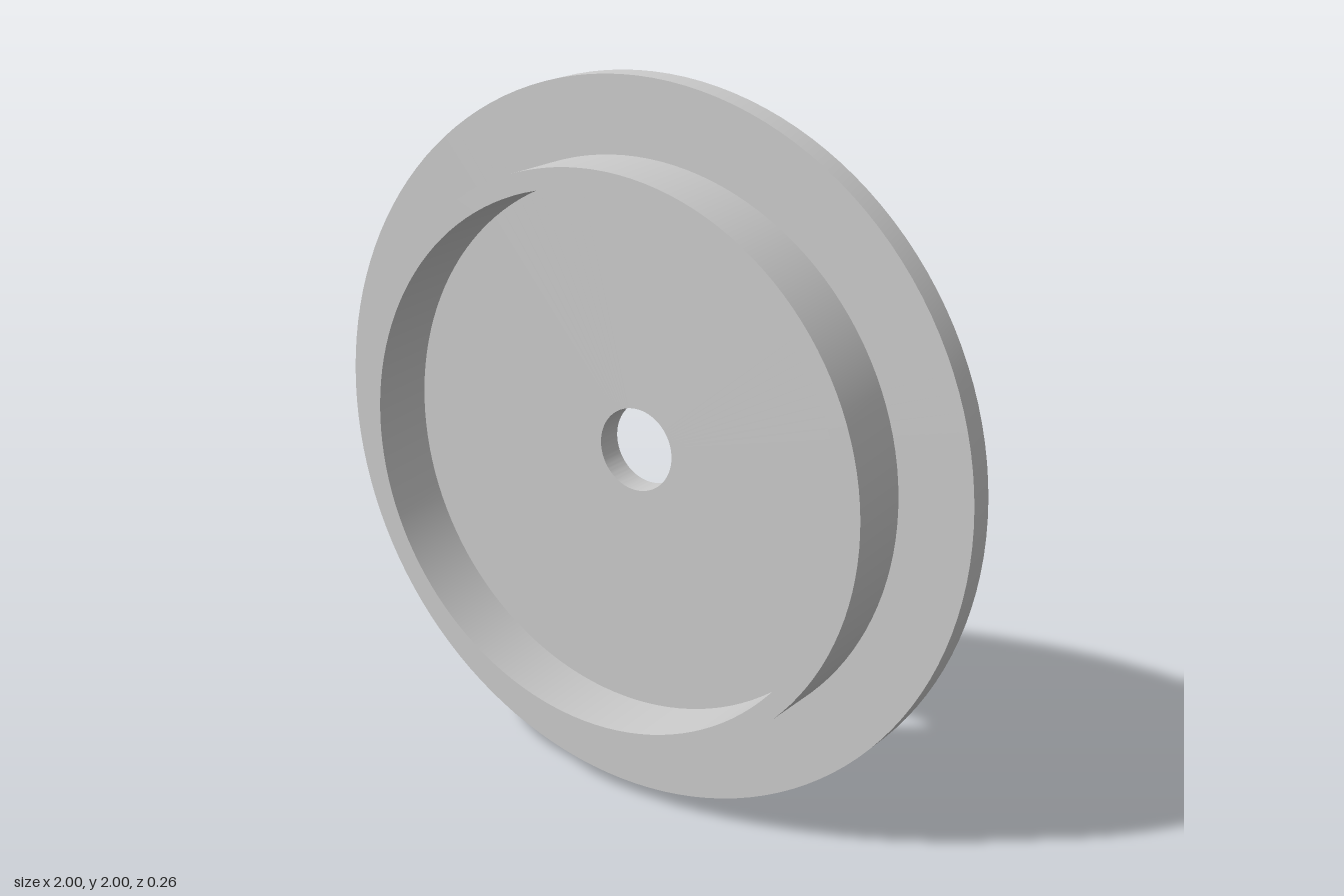
import * as THREE from 'three';
import { toCreasedNormals } from 'three/addons/utils/BufferGeometryUtils.js';

const R_DISC = 1, R_RIM = 0.793, R_RIM_INNER = 0.738, R_HOLE = 0.115;
const Z_BACK = -0.1325, Z_FACE = -0.0575, Z_FRONT = 0.1325;

// Turns a profile of [radius, z] points around the z axis, with sharp edges
function turned(name, profile, material) {
  const points = profile.map(([r, z]) => new THREE.Vector2(r, z));
  const lathe = new THREE.LatheGeometry(points, 128).rotateX(Math.PI / 2);
  const mesh = new THREE.Mesh(toCreasedNormals(lathe, Math.PI / 6), material);
  mesh.name = name;
  mesh.position.y = R_DISC;
  return mesh;
}

export function createModel() {
  const group = new THREE.Group();
  group.name = 'flangedCap';
  const material = new THREE.MeshStandardMaterial({ color: 0xcccccc });

  // Flat disc with a through hole; its front is split where the rim stands
  group.add(turned('disc', [
    [R_HOLE, Z_BACK], [R_DISC, Z_BACK], [R_DISC, Z_FACE],
    [R_HOLE, Z_FACE], [R_HOLE, Z_BACK],
  ], material));

  // Raised ring on the front face, open where it meets the disc
  group.add(turned('rim', [
    [R_RIM, Z_FACE], [R_RIM, Z_FRONT], [R_RIM_INNER, Z_FRONT], [R_RIM_INNER, Z_FACE],
  ], material));

  return group;
}
